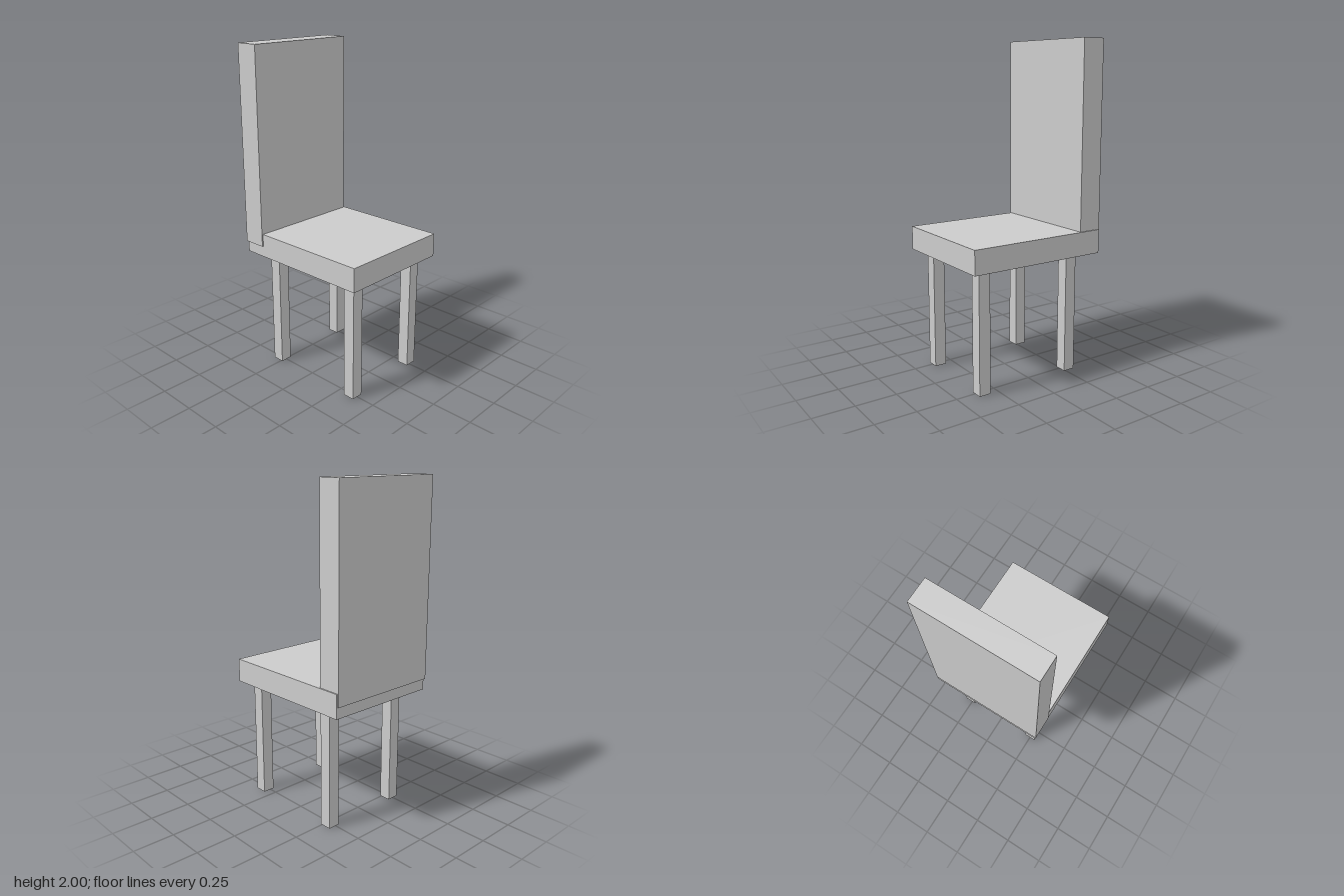
import * as THREE from 'three';

const material = new THREE.MeshStandardMaterial({ color: 0xcccccc, flatShading: true });

// Box given by its lower and upper corners
function box(name, [x0, y0, z0], [x1, y1, z1]) {
  const mesh = new THREE.Mesh(new THREE.BoxGeometry(x1 - x0, y1 - y0, z1 - z0), material);
  mesh.position.set((x0 + x1) / 2, (y0 + y1) / 2, (z0 + z1) / 2);
  mesh.name = name;
  return mesh;
}

export function createModel() {
  const chair = new THREE.Group();
  chair.name = 'chair';

  // Seat slab, and a tall backrest set slightly off to the right and rear
  chair.add(box('seat', [-0.357, 0.736, -0.438], [0.363, 0.88, 0.443]));
  chair.add(box('backrest', [-0.365, 0.803, -0.445], [0.355, 2, -0.3]));

  // Four square legs
  const legWidth = 0.073;
  for (const [side, x] of [['Right', -0.249], ['Left', 0.262]]) {
    for (const [end, z] of [['front', 0.34], ['back', -0.277]]) {
      const h = legWidth / 2;
      chair.add(box(`${end}${side}Leg`, [x - h, 0, z - h], [x + h, 0.75, z + h]));
    }
  }
  return chair;
}
